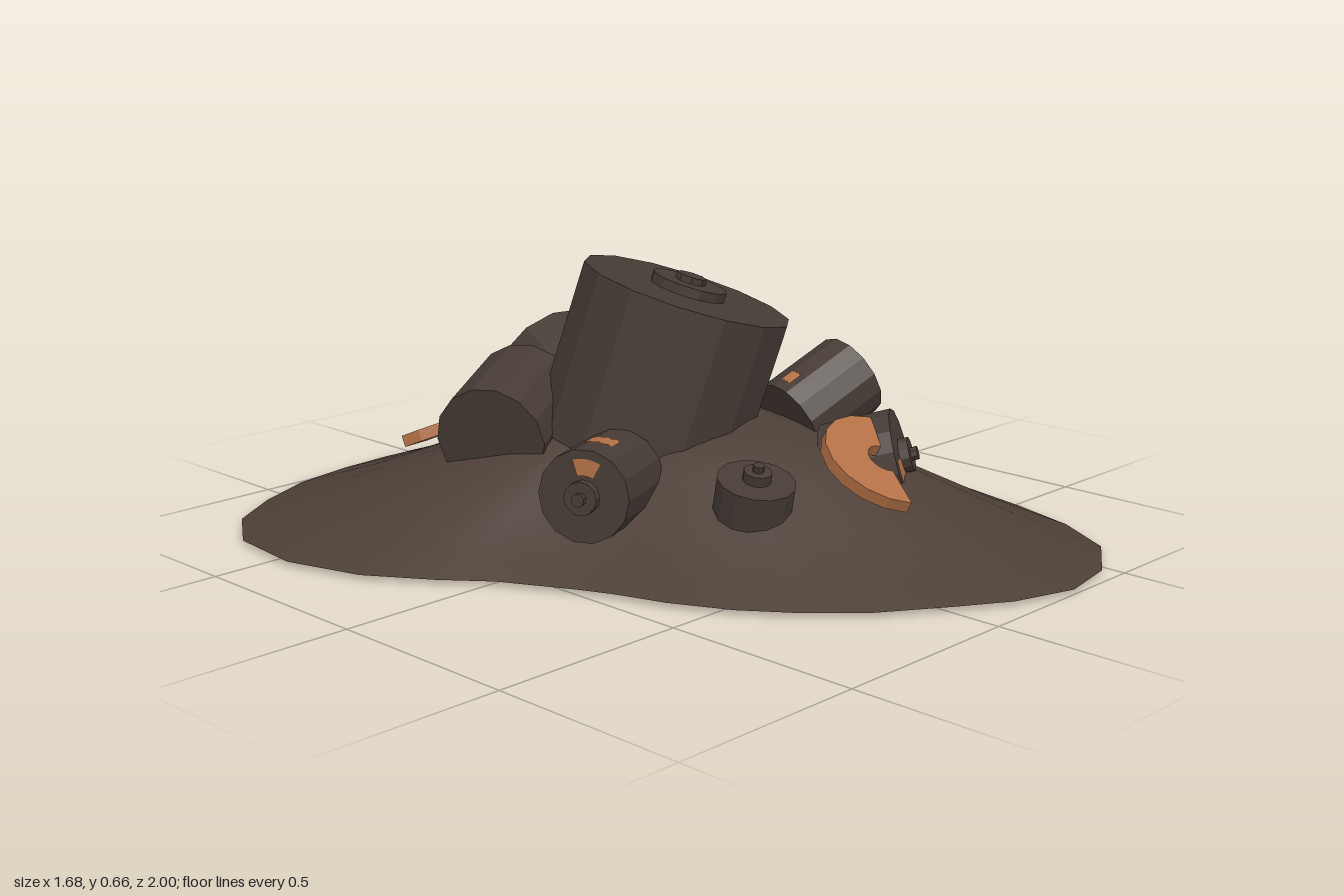
import * as THREE from 'three';

const earth = new THREE.MeshStandardMaterial({ color: 0x4c3f37 });
earth.name = 'dark earth';
const metal = new THREE.MeshStandardMaterial({ color: 0x463b35, flatShading: true });
metal.name = 'dirty metal';
const rust = new THREE.MeshStandardMaterial({ color: 0xb27045, side: THREE.DoubleSide, flatShading: true });
rust.name = 'orange rust';

const UP = new THREE.Vector3(0, 1, 0);
const vec = (a) => new THREE.Vector3(...a);

function add(parent, name, geometry, material) {
  const mesh = new THREE.Mesh(geometry, material);
  mesh.name = name;
  parent.add(mesh);
  return mesh;
}

// Ground outline as [x, z], clockwise from the back
const OUTLINE = [
  [0, -1], [.15, -.97], [.28, -.89], [.49, -.69], [.69, -.52], [.79, -.38], [.84, -.24], [.84, -.08],
  [.77, .21], [.74, .53], [.69, .71], [.6, .87], [.45, .97], [.29, 1], [.13, .95], [0, .87],
  [-.15, .77], [-.26, .66], [-.35, .54], [-.42, .4], [-.46, .28], [-.5, .19], [-.59, .02], [-.68, -.09],
  [-.78, -.24], [-.84, -.44], [-.82, -.65], [-.72, -.8], [-.58, -.89], [-.42, -.96], [-.26, -.99], [-.12, -1],
];
const CX = .1, CZ = -.05;

// Surface through scaled copies of the outline; height depends on scale and position
function outlineSurface(scales, height) {
  const pos = [], index = [], n = OUTLINE.length;
  for (const t of scales) {
    for (const [ox, oz] of OUTLINE) {
      const x = CX + (ox - CX) * t, z = CZ + (oz - CZ) * t;
      pos.push(x, height(t, x, z), z);
    }
  }
  for (let k = 0; k < scales.length - 1; k++) {
    for (let j = 0; j < n; j++) {
      const a = k * n + j, b = k * n + (j + 1) % n;
      index.push(a, b, a + n, b, b + n, a + n);
    }
  }
  const g = new THREE.BufferGeometry();
  g.setAttribute('position', new THREE.Float32BufferAttribute(pos, 3));
  g.setIndex(index);
  g.computeVertexNormals();
  return g;
}

// Mound height from centre (t = 0) to rim (t = 1)
const PROFILE = [.295, .285, .238, .155, .077, .012];
function moundHeight(t, x, z) {
  const s = Math.min(t * 5, 4.9999), i = Math.floor(s), f = s - i;
  const base = PROFILE[i] * (1 - f) + PROFILE[i + 1] * f;
  const ridge = .03 * Math.exp(-((x - .36) ** 2 + (z + .14) ** 2) / .02);
  return base + ridge * (1 - t);
}

// Drum whose lid centre is at `at`, facing along `n`; the body runs back by `length`
function drum(name, at, n, r, length, sides = 14) {
  const g = new THREE.Group();
  g.name = name;
  g.position.set(...at);
  g.quaternion.setFromUnitVectors(UP, vec(n).normalize());
  add(g, 'drumBody', new THREE.CylinderGeometry(r, r, length, sides), metal).position.y = -length / 2;
  const cap = Math.max(.034, r * .36);
  add(g, 'lidPlate', new THREE.CylinderGeometry(cap, cap, .024, 12), metal).position.y = .012;
  add(g, 'lidPlug', new THREE.CylinderGeometry(cap * .4, cap * .4, .016, 8), metal).position.y = .032;
  g.userData = { r, length };
  return g;
}

// World direction expressed in the drum's own axes
function localDir(d, dir) {
  return vec(dir).applyQuaternion(d.quaternion.clone().invert());
}

// Thin rust patch on a drum's side, facing `dir`, between two depths below the lid
function sidePatch(d, dir, from, to, arc) {
  const v = localDir(d, dir), h = to - from, r = d.userData.r + .004;
  const g = new THREE.CylinderGeometry(r, r, h, 6, 1, true, Math.atan2(v.x, v.z) - arc / 2, arc);
  // ragged ends
  const p = g.attributes.position;
  for (let i = 0; i < p.count; i++) p.setY(i, p.getY(i) * (i % 2 ? .7 : 1));
  add(d, 'rustPatch', g, rust).position.y = -(from + to) / 2;
}

// Thin rust patch on a drum's lid
function lidPatch(d, dir, inner, outer, arc) {
  const v = localDir(d, dir);
  const g = new THREE.RingGeometry(inner, outer, 6, 1, Math.atan2(-v.z, v.x) - arc / 2, arc);
  add(d, 'lidRust', g.rotateX(-Math.PI / 2), rust).position.y = .003;
}

// Broken ring lying on the slope; angles run from +x towards +z
function brokenRing(name, at, n, inner, outer, start, end) {
  const s = new THREE.Shape();
  const steps = 9;
  for (let i = 0; i <= steps; i++) {
    const a = start + (end - start) * i / steps;
    s.lineTo(Math.cos(a) * outer, -Math.sin(a) * outer);
  }
  for (let i = steps; i >= 0; i--) {
    const a = start + (end - start) * i / steps;
    s.lineTo(Math.cos(a) * inner, -Math.sin(a) * inner);
  }
  s.curves.shift(); // drop the segment from the origin
  const geo = new THREE.ExtrudeGeometry(s, { depth: .03, bevelEnabled: false });
  const mesh = new THREE.Mesh(geo.rotateX(-Math.PI / 2).translate(0, -.015, 0), rust);
  mesh.name = name;
  mesh.position.set(...at);
  mesh.quaternion.setFromUnitVectors(UP, vec(n).normalize());
  return mesh;
}

export function createModel() {
  const model = new THREE.Group();
  model.name = 'drumHeap';

  // Mound and its underside
  const scales = [0, .1, .2, .3, .4, .5, .6, .7, .8, .9, 1];
  add(model, 'mound', outlineSurface(scales, moundHeight), earth);
  add(model, 'moundUnderside', outlineSurface([1, 0], (t) => .012 * t), earth);

  // Drums
  const main = drum('mainDrum', [.105, .585, -.04], [.23, 1, .21], .268, .42);
  const backLeft = drum('backLeftDrum', [.17, .285, -.6], [.2, .36, -.91], .185, .23);
  const backRight = drum('backRightDrum', [-.12, .3, -.385], [.86, .2, -.45], .14, .27);
  const sideRight = drum('rightDrum', [-.415, .2, .13], [-.9, .05, .43], .112, .24);
  const sideLeft = drum('leftDrum', [.455, .35, .2], [.88, .42, .17], .11, .22);
  const sunken = drum('sunkenDrum', [-.1, .225, .38], [-.08, .95, .24], .094, .11);
  const frontLeft = drum('frontLeftDrum', [.34, .21, .46], [.53, .28, .8], .12, .18);
  model.add(main, backLeft, backRight, sideRight, sideLeft, sunken, frontLeft);

  // Rust patches
  sidePatch(backLeft, [-.1, 1, .3], .13, .22, .45);
  sidePatch(backLeft, [1, .35, 0], 0, .06, .4);
  sidePatch(backLeft, [1, -.5, .1], .09, .15, .3);
  sidePatch(sideRight, [0, 1, .1], .06, .13, .6);
  sidePatch(sideLeft, [-.3, 1, .1], .15, .2, .3);
  lidPatch(sideRight, [0, 1, .1], .05, .09, .8);
  lidPatch(frontLeft, [-.7, -.3, .5], .045, .112, 1);

  // Rusty broken rings
  model.add(
    brokenRing('frontBrokenRing', [.19, .235, .52], [0, .85, .48], .045, .155, Math.PI * .62, Math.PI * 1.68),
    brokenRing('backBrokenRing', [-.16, .155, -.69], [-.05, .9, -.4], .065, .155, -.15, Math.PI * .93),
  );
  return model;
}
